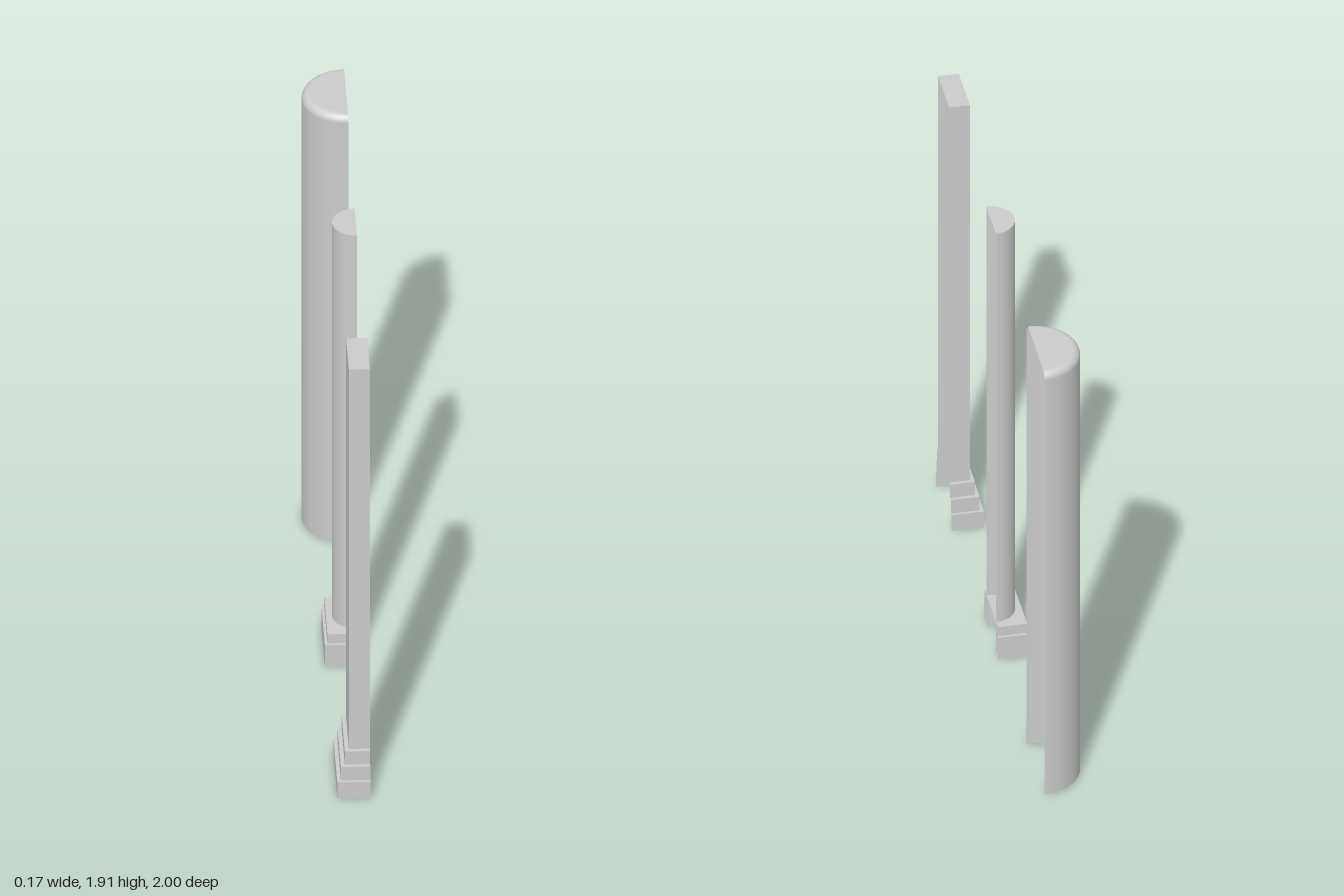
import * as THREE from 'three';

const material = new THREE.MeshStandardMaterial({ color: 0xcccccc, side: THREE.DoubleSide });

function part(name, geometry, parent) {
  const mesh = new THREE.Mesh(geometry, material);
  mesh.name = name;
  parent.add(mesh);
  return mesh;
}

// Three-walled shell, open on the +x side and below, closed on top.
// Each level is [y, outer x, half depth]; repeated heights make ledges.
function openShell(levels, openX) {
  const rings = levels.map(([y, x, h]) => [
    [openX, y, h], [x, y, h], [x, y, -h], [openX, y, -h],
  ]);
  const pos = [];
  const quad = (a, b, c, d) => [a, b, c, a, c, d].forEach((p) => pos.push(...p));
  for (let i = 0; i < rings.length - 1; i++) {
    const low = rings[i], up = rings[i + 1];
    for (let k = 0; k < 3; k++) quad(low[k + 1], low[k], up[k], up[k + 1]);
  }
  const top = rings[rings.length - 1];
  quad(top[1], top[0], top[3], top[2]);
  const geometry = new THREE.BufferGeometry();
  geometry.setAttribute('position', new THREE.Float32BufferAttribute(pos, 3));
  geometry.computeVertexNormals();
  return geometry;
}

export function createModel() {
  const model = new THREE.Group();
  model.name = 'wallColumns';

  // Square pilaster on a three-step base
  const pilaster = part('squarePilaster', openShell([
    [0, -0.042, 0.144], [0.072, -0.042, 0.144],
    [0.072, -0.028, 0.133], [0.133, -0.028, 0.133],
    [0.133, -0.013, 0.118], [0.192, -0.013, 0.118],
    [0.192, 0.003, 0.102], [1.897, 0.003, 0.102],
  ], 0.081), model);
  pilaster.position.z = 0.856;

  // Slim half-round column standing through a two-step plinth
  const slim = new THREE.Group();
  slim.name = 'slimHalfColumn';
  slim.position.z = 0.008;
  model.add(slim);
  const r = 0.088, height = 1.905, wallX = 0.076;
  const shaft = part('slimShaft',
    new THREE.CylinderGeometry(r, r, height, 32, 1, true, Math.PI, Math.PI), slim);
  shaft.position.set(wallX, height / 2, 0);
  const cap = part('slimCap', new THREE.CircleGeometry(r, 32, Math.PI / 2, Math.PI), slim);
  cap.rotation.x = -Math.PI / 2;
  cap.position.set(wallX, height, 0);
  part('plinth', openShell([
    [0, -0.045, 0.132], [0.098, -0.045, 0.132],
    [0.098, -0.035, 0.121], [0.139, -0.035, 0.121],
  ], wallX), slim);

  // Wide half-round column with a rounded top edge
  const R = 0.165, H = 1.912, bevel = 0.03;
  const profile = [new THREE.Vector2(R, 0)];
  for (let i = 0; i <= 6; i++) {
    const a = (i / 6) * Math.PI / 2;
    profile.push(new THREE.Vector2(R - bevel + bevel * Math.cos(a), H - bevel + bevel * Math.sin(a)));
  }
  profile.push(new THREE.Vector2(0, H));
  const wide = part('wideHalfColumn',
    new THREE.LatheGeometry(profile, 40, Math.PI, Math.PI), model);
  wide.position.set(0.082, 0, -0.835);

  return model;
}
